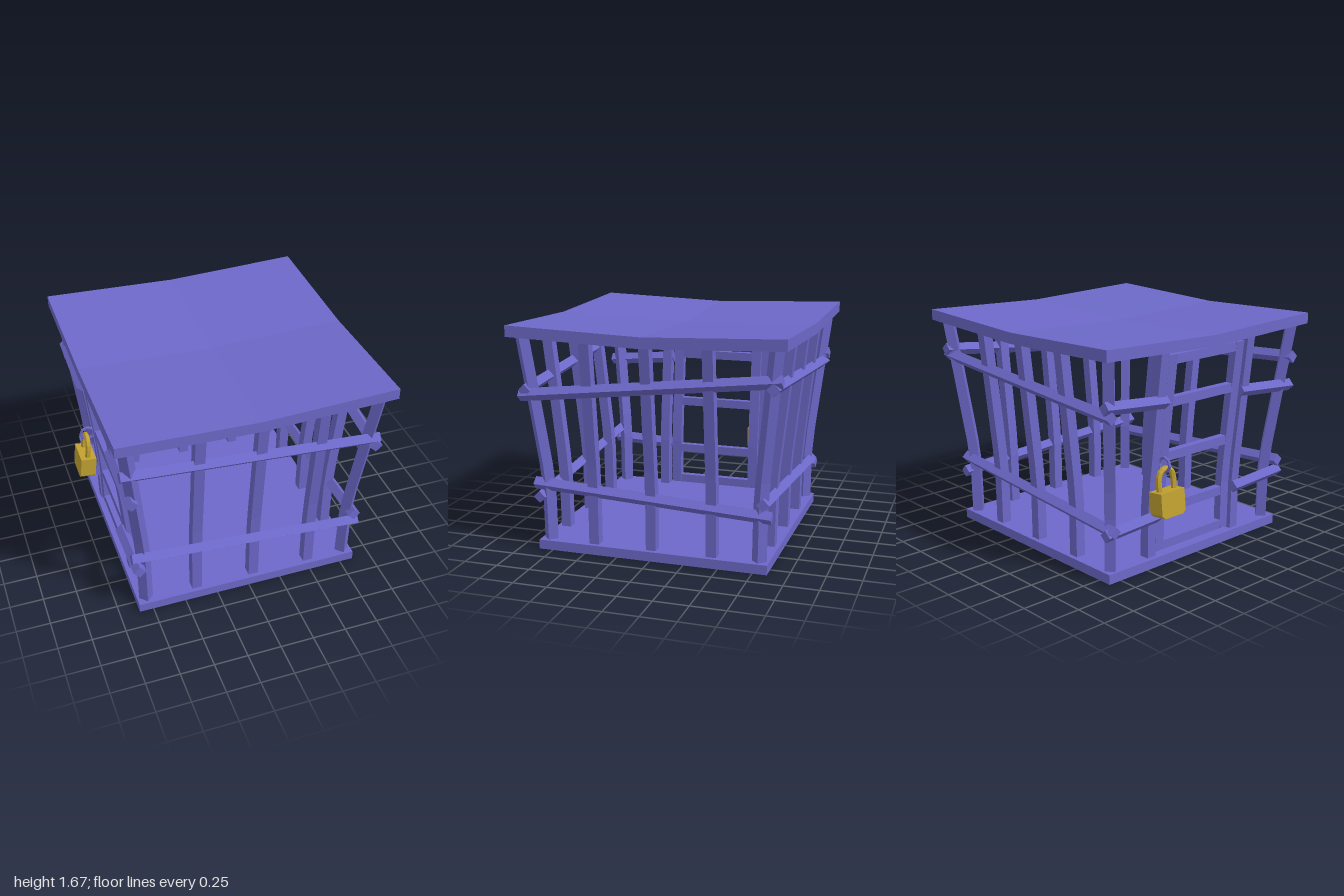
import * as THREE from 'three';

const purple = new THREE.MeshStandardMaterial({ color: 0x6c68c8, flatShading: true, side: THREE.DoubleSide });
const gold = new THREE.MeshStandardMaterial({ color: 0xc0a030, flatShading: true });

// Outward bow of the cage walls: [height, distance from the centre]
const BOW = [[0.03, 0.785], [0.45, 0.79], [0.65, 0.805], [1.2, 0.865], [1.6, 0.91]];

function bowAt(y) {
  for (let i = 1; i < BOW.length; i++) {
    const [y0, d0] = BOW[i - 1], [y1, d1] = BOW[i];
    if (y <= y1) return d0 + (d1 - d0) * (y - y0) / (y1 - y0);
  }
  return BOW[BOW.length - 1][1];
}

function add(parent, name, geometry, material = purple) {
  const mesh = new THREE.Mesh(geometry, material);
  mesh.name = name;
  parent.add(mesh);
  return mesh;
}

// Upright bar that follows the bow in direction (dx, dz), shifted by (x, z)
function bentBar(parent, name, { x = 0, z = 0, dx = 0, dz = 0, w = 0.075, d = 0.075, yaw = 0, bottom = 0.03, top = 1.6 }) {
  const ys = [bottom, ...BOW.map(p => p[0]).filter(y => y > bottom && y < top), top];
  const n = ys.length - 1;
  const geo = new THREE.BoxGeometry(w, 1, d, 1, n, 1).rotateY(yaw);
  const p = geo.attributes.position;
  for (let i = 0; i < p.count; i++) {
    const y = ys[Math.round((p.getY(i) + 0.5) * n)];
    const out = bowAt(y);
    p.setXYZ(i, p.getX(i) + x + dx * out, y, p.getZ(i) + z + dz * out);
  }
  geo.computeVertexNormals();
  return add(parent, name, geo);
}

// Square rail standing on its edge, between two points
function rail(parent, name, a, b) {
  const A = new THREE.Vector3(...a), B = new THREE.Vector3(...b);
  const geo = new THREE.BoxGeometry(0.066, 0.066, A.distanceTo(B)).rotateZ(Math.PI / 4);
  const mesh = add(parent, name, geo);
  mesh.position.copy(A).lerp(B, 0.5);
  mesh.lookAt(B);
}

export function createModel() {
  const cage = new THREE.Group();
  cage.name = 'cage';

  // Floor tray, open underneath
  const trayGeo = new THREE.BoxGeometry(1.71, 0.07, 1.71);
  const idx = Array.from(trayGeo.index.array);
  idx.splice(18, 6);
  trayGeo.setIndex(idx);
  trayGeo.clearGroups();
  add(cage, 'floor', trayGeo).position.y = 0.035;

  // Roof slab sagging towards its middle
  const roofGeo = new THREE.BoxGeometry(1.99, 0.08, 1.99, 2, 1, 2);
  const rp = roofGeo.attributes.position;
  for (let i = 0; i < rp.count; i++) {
    rp.setY(i, rp.getY(i) + 1.557 + 0.035 * (Math.abs(rp.getX(i)) + Math.abs(rp.getZ(i))));
  }
  roofGeo.computeVertexNormals();
  add(cage, 'roof', roofGeo).position.x = 0.003;

  // Corner posts, turned by 45 degrees
  for (const dx of [-1, 1]) {
    for (const dz of [-1, 1]) bentBar(cage, 'cornerPost', { dx, dz, yaw: Math.PI / 4 });
  }

  // Bars between the corners; the door side has only two
  for (const x of [-0.4, 0.045, 0.49]) bentBar(cage, 'frontBar', { x, dz: 1 });
  for (const x of [-0.435, 0, 0.445]) bentBar(cage, 'backBar', { x, dz: -1 });
  for (const z of [-0.445, 0, 0.435]) bentBar(cage, 'leftBar', { z, dx: 1 });
  for (const z of [-0.43, 0.425]) bentBar(cage, 'doorPost', { z, dx: -1 });

  // Crooked rails around the outside
  rail(cage, 'frontUpperRail', [-0.95, 1.34, 0.895], [0.935, 1.2, 0.895]);
  rail(cage, 'frontLowerRail', [-0.89, 0.53, 0.84], [0.86, 0.4, 0.84]);
  rail(cage, 'backUpperRail', [-0.93, 1.19, -0.895], [0.945, 1.32, -0.895]);
  rail(cage, 'backLowerRail', [-0.88, 0.37, -0.82], [0.865, 0.5, -0.82]);
  rail(cage, 'leftUpperRail', [0.9, 1.16, 0.945], [0.9, 1.37, -0.95]);
  rail(cage, 'leftLowerRail', [0.815, 0.495, 0.885], [0.815, 0.4, -0.875]);

  // Short rails on both sides of the door
  rail(cage, 'doorUpperRailFront', [-0.885, 1.11, 0.94], [-0.885, 1.155, 0.38]);
  rail(cage, 'doorUpperRailBack', [-0.9, 1.21, -0.38], [-0.9, 1.26, -0.94]);
  rail(cage, 'doorLowerRailFront', [-0.845, 0.435, 0.89], [-0.845, 0.41, 0.38]);
  rail(cage, 'doorLowerRailBack', [-0.83, 0.37, -0.38], [-0.83, 0.345, -0.87]);

  // Door: two bowed stiles with cross bars
  const door = new THREE.Group();
  door.name = 'door';
  cage.add(door);
  for (const z of [-0.345, 0.32]) {
    bentBar(door, 'doorStile', { z, dx: -1, w: 0.06, d: 0.078, bottom: 0.095, top: 1.535 });
  }
  for (const y of [0.127, 0.395, 0.795, 1.195, 1.5]) {
    add(door, 'doorCrossBar', new THREE.BoxGeometry(0.055, 0.066, 0.62))
      .position.set(-bowAt(y), y, -0.012);
  }

  // Ring on the door that holds the padlock
  add(cage, 'lockRing', new THREE.TorusGeometry(0.052, 0.012, 6, 8))
    .position.set(-0.895, 0.765, -0.385);

  // Padlock
  const lock = new THREE.Group();
  lock.name = 'padlock';
  lock.position.set(-0.93, 0.5, -0.385);
  lock.rotation.z = -0.11;
  cage.add(lock);
  const c = 0.025, hw = 0.112, hh = 0.09, shape = new THREE.Shape();
  shape.moveTo(-hw + c, -hh).lineTo(hw - c, -hh).lineTo(hw, -hh + c).lineTo(hw, hh)
    .lineTo(-hw, hh).lineTo(-hw, -hh + c).closePath();
  const bodyGeo = new THREE.ExtrudeGeometry(shape, { depth: 0.12, bevelEnabled: false })
    .translate(0, 0, -0.06).rotateY(Math.PI / 2);
  add(lock, 'lockBody', bodyGeo, gold);

  // Shackle arch
  const arch = [[-0.068, 0.07], [-0.068, 0.18], [-0.045, 0.225], [0, 0.242], [0.045, 0.225], [0.068, 0.18], [0.068, 0.07]];
  const curve = new THREE.CatmullRomCurve3(arch.map(([z, y]) => new THREE.Vector3(0, y, z)));
  add(lock, 'shackle', new THREE.TubeGeometry(curve, 14, 0.021, 6), gold);

  return cage;
}
